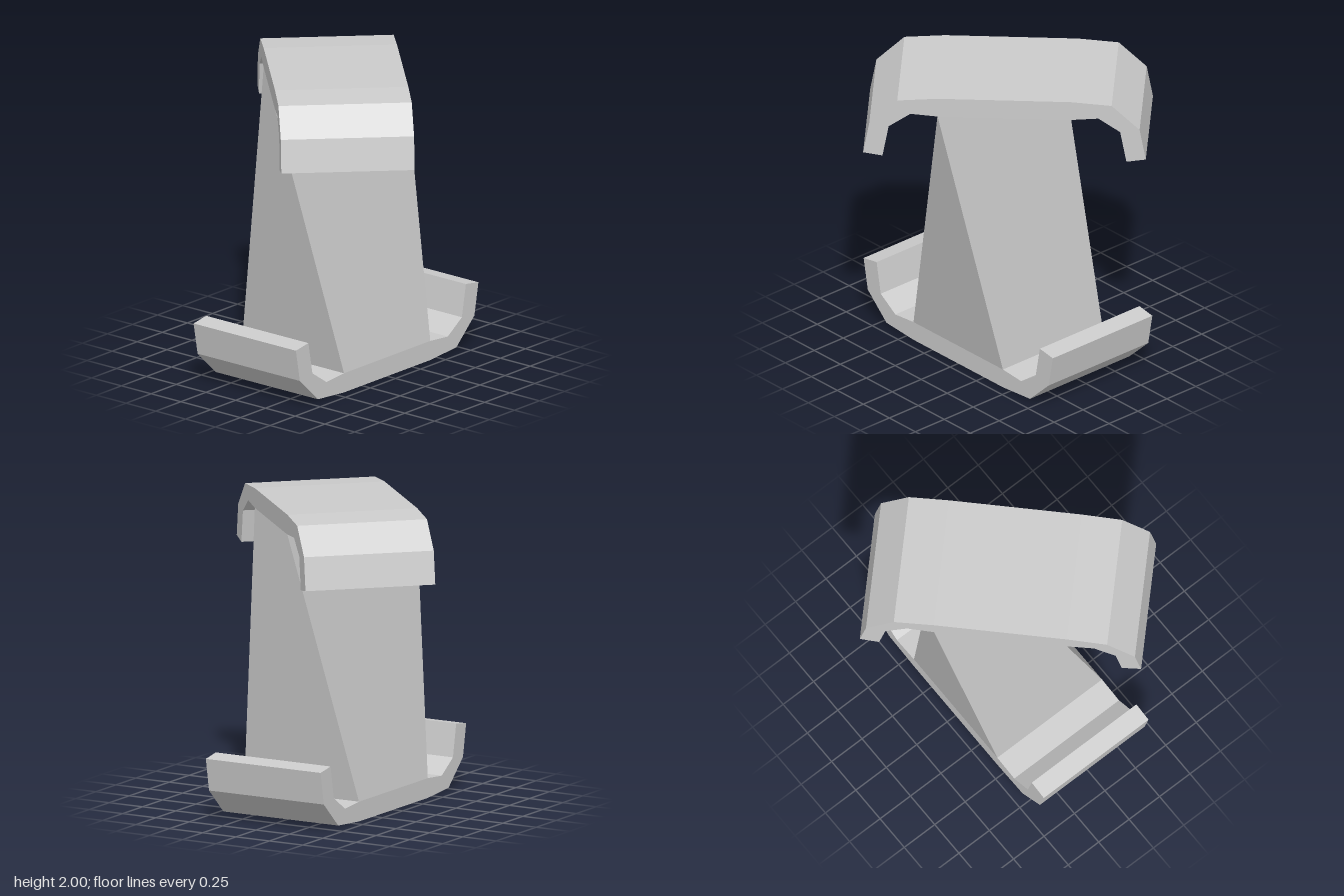
import * as THREE from 'three';

const HALF = 0.43;      // half width of clips and post
const THICK = 0.13;     // clip thickness where it meets the post
const HEIGHT = 2;

const material = new THREE.MeshStandardMaterial({ color: 0xcccccc });

// Channel clip: half profile mirrored, extruded across its width
function clipGeometry() {
  const outer = [[HALF, 0], [0.69, 0.02], [0.87, 0.19], [0.91, 0.405]];
  const inner = [[0.785, 0.425], [0.745, 0.21], [0.605, 0.115], [HALF, THICK]];
  const half = [...outer, ...inner];
  const mirrored = half.map(([x, y]) => [-x, y]).reverse();
  const shape = new THREE.Shape([...half, ...mirrored].map(([x, y]) => new THREE.Vector2(x, y)));
  const geo = new THREE.ExtrudeGeometry(shape, { depth: 2 * HALF, bevelEnabled: false });
  return geo.translate(0, 0, -HALF);
}

// Post: square base twisted 45 degrees to the top, four folded sides
function postGeometry() {
  const top = HEIGHT - THICK, r = HALF * Math.SQRT2;
  const up = new THREE.Vector3(0, 1, 0);
  const side = [[-HALF, THICK, HALF], [HALF, THICK, HALF], [0, top, r], [-r, top, 0]];
  const positions = [], normals = [], index = [];
  for (let k = 0; k < 4; k++) {
    const turn = k * Math.PI / 2;
    // one shared normal per side keeps each face evenly shaded
    const n = new THREE.Vector3(0, 0, 1).applyAxisAngle(up, turn - Math.PI / 8);
    for (const p of side) {
      positions.push(...new THREE.Vector3(...p).applyAxisAngle(up, turn).toArray());
      normals.push(...n.toArray());
    }
    const b = k * 4;
    index.push(b, b + 1, b + 3, b + 1, b + 2, b + 3);
  }
  const geo = new THREE.BufferGeometry();
  geo.setAttribute('position', new THREE.Float32BufferAttribute(positions, 3));
  geo.setAttribute('normal', new THREE.Float32BufferAttribute(normals, 3));
  geo.setIndex(index);
  return geo;
}

export function createModel() {
  const model = new THREE.Group();
  model.name = 'twistedDoubleClip';
  const add = (name, geometry) => {
    const mesh = new THREE.Mesh(geometry, material);
    mesh.name = name;
    model.add(mesh);
  };

  add('lowerClip', clipGeometry().rotateY(Math.PI / 2));
  add('twistedPost', postGeometry());
  // Same clip turned over and set diagonally
  add('upperClip', clipGeometry().rotateZ(Math.PI).translate(0, HEIGHT, 0).rotateY(-Math.PI / 4));
  return model;
}
